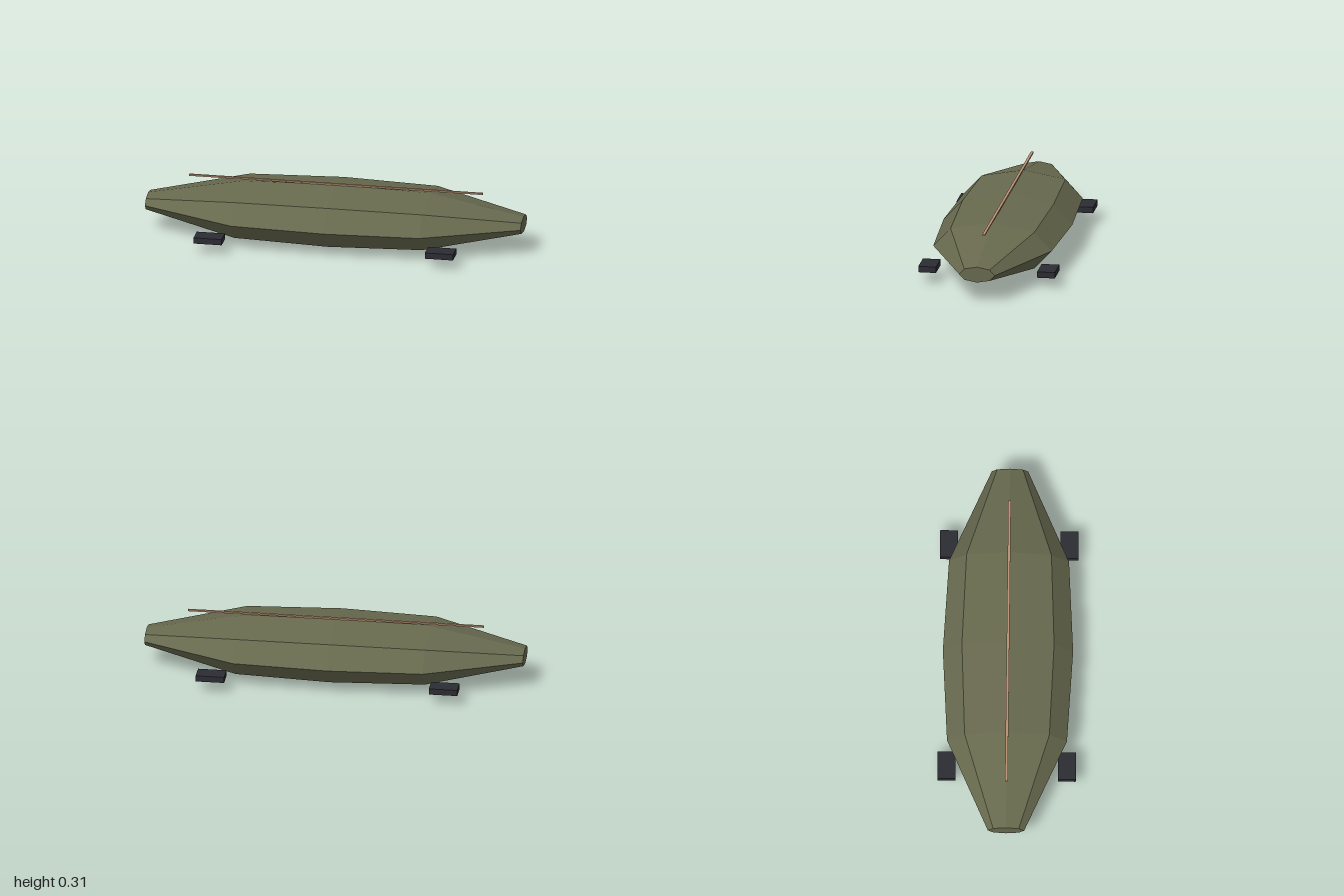
import * as THREE from 'three';

export function createModel() {
  const model = new THREE.Group();
  model.name = 'airship';
  const olive = new THREE.MeshStandardMaterial({ color: 0x67694e, flatShading: true });
  olive.name = 'olive hull';
  const charcoal = new THREE.MeshStandardMaterial({ color: 0x2b2b33 });
  charcoal.name = 'charcoal';
  const copper = new THREE.MeshStandardMaterial({ color: 0xb88f72 });
  copper.name = 'copper';

  const add = (name, geometry, material, x, y, z) => {
    const mesh = new THREE.Mesh(geometry, material);
    mesh.name = name;
    mesh.position.set(x, y, z);
    model.add(mesh);
  };

  // Octagonal hull: cylinder along x, each ring scaled to [half height, half width]
  const rings = [[0.151, 0.341], [0.139, 0.314], [0.042, 0.095]];
  const hull = new THREE.CylinderGeometry(1, 1, 2, 8, 4).rotateZ(-Math.PI / 2);
  const p = hull.attributes.position;
  for (let i = 0; i < p.count; i++) {
    const [h, w] = rings[Math.round(Math.abs(p.getX(i)) * 2)];
    p.setY(i, p.getY(i) * h);
    p.setZ(i, p.getZ(i) * w);
  }
  hull.computeVertexNormals();
  add('hull', hull, olive, 0, 0.154, 0);

  // Thin rail along the spine
  add('spineRail', new THREE.BoxGeometry(1.564, 0.008, 0.014), copper, 0, 0.308, 0);

  // Four side pods
  const pod = new THREE.BoxGeometry(0.15, 0.032, 0.094);
  for (const sx of [1, -1]) {
    for (const sz of [1, -1]) {
      const name = (sz > 0 ? 'front' : 'back') + (sx > 0 ? 'Left' : 'Right') + 'Pod';
      add(name, pod, charcoal, sx * 0.616, 0.078, sz * 0.315);
    }
  }
  return model;
}
